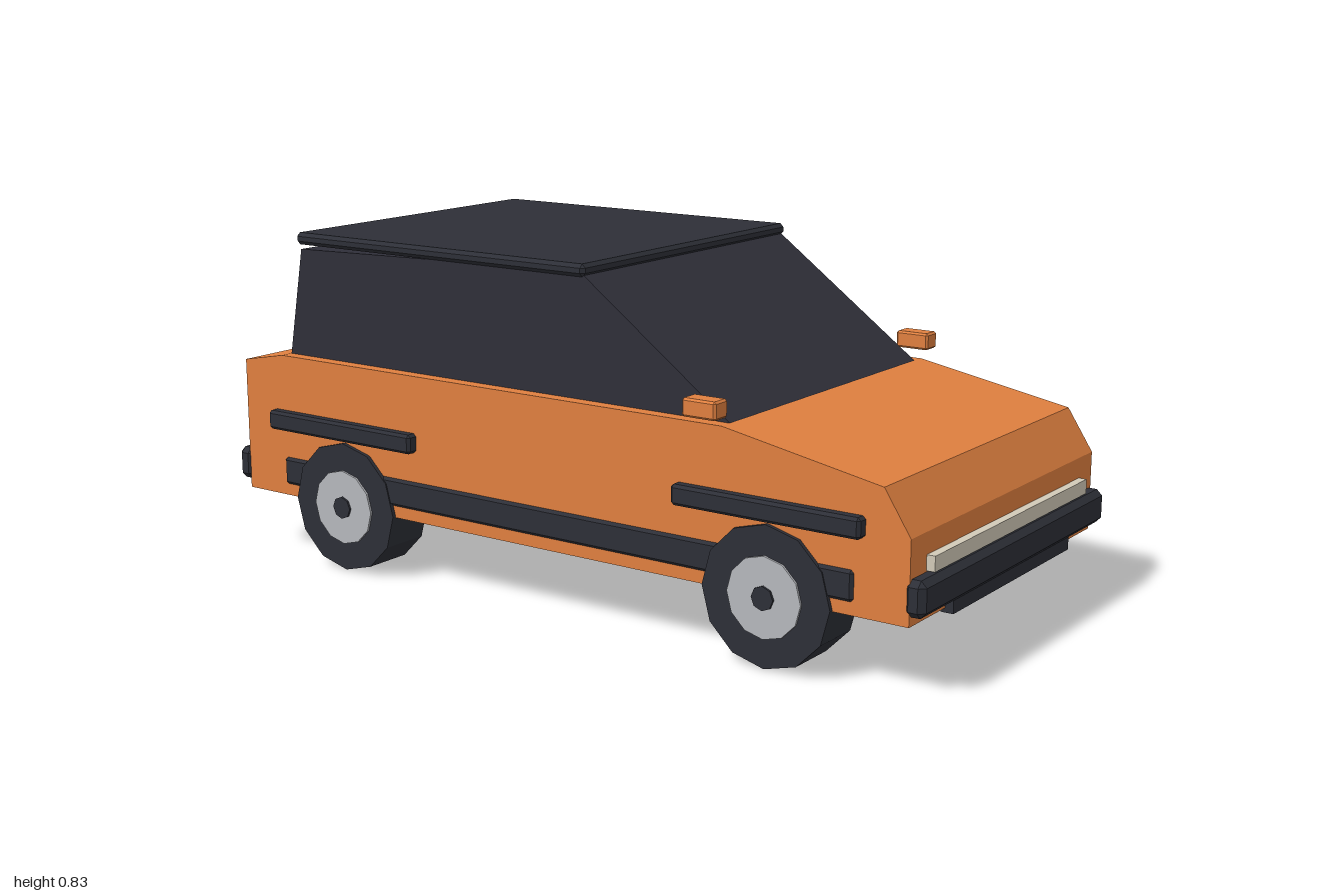
import * as THREE from 'three';
import { ConvexGeometry } from 'three/addons/geometries/ConvexGeometry.js';

const mat = (name, color) => {
  const m = new THREE.MeshStandardMaterial({ color });
  m.name = name;
  return m;
};

// Side profile of [z, y] points, extruded across the car's width
function sideExtrude(points, width) {
  const shape = new THREE.Shape(points.map(([z, y]) => new THREE.Vector2(z, y)));
  const geo = new THREE.ExtrudeGeometry(shape, { depth: width, bevelEnabled: false });
  return geo.translate(0, 0, -width / 2).rotateY(-Math.PI / 2);
}

// Box with chamfered edges, given by its size and chamfer
function chamferBox(w, h, d, c) {
  const pts = [];
  for (const sx of [-1, 1]) for (const sy of [-1, 1]) for (const sz of [-1, 1]) {
    const x = w / 2, y = h / 2, z = d / 2;
    pts.push(
      new THREE.Vector3(sx * x, sy * (y - c), sz * (z - c)),
      new THREE.Vector3(sx * (x - c), sy * y, sz * (z - c)),
      new THREE.Vector3(sx * (x - c), sy * (y - c), sz * z));
  }
  return new ConvexGeometry(pts);
}

export function createModel() {
  const paint = mat('orange paint', 0xe08040);
  const glass = mat('dark glass', 0x2f2f39);
  const trim = mat('black trim', 0x2d2f37);
  const metal = mat('wheel metal', 0xb6b8bd);
  const lamp = mat('headlight cream', 0xd2cab8);
  const red = mat('tail light red', 0xc41c20);

  const car = new THREE.Group();
  car.name = 'car';
  const add = (name, geo, material, x = 0, y = 0, z = 0, parent = car) => {
    const mesh = new THREE.Mesh(geo, material);
    mesh.name = name;
    mesh.position.set(x, y, z);
    parent.add(mesh);
    return mesh;
  };

  // Body, cabin and roof
  add('body', sideExtrude([
    [-0.96, 0.16], [0.965, 0.16], [0.965, 0.35], [0.9, 0.45],
    [0.5, 0.523], [-0.83, 0.523], [-0.96, 0.498]], 0.9), paint);
  add('cabin', sideExtrude([
    [-0.83, 0.515], [0.51, 0.515], [0.1, 0.812], [-0.3, 0.806], [-0.78, 0.793]], 0.834), glass);
  add('roof', chamferBox(0.854, 0.03, 0.9, 0.009), trim, 0, 0.82, -0.34);

  // Bumpers, front lip and lights
  add('frontBumper', chamferBox(0.91, 0.082, 0.05, 0.014), trim, 0, 0.222, 0.975);
  add('rearBumper', chamferBox(0.91, 0.082, 0.05, 0.014), trim, 0, 0.222, -0.975);
  add('frontLip', new THREE.BoxGeometry(0.58, 0.05, 0.03), trim, 0, 0.175, 0.97);
  add('headlightStrip', new THREE.BoxGeometry(0.76, 0.035, 0.03), lamp, 0, 0.283, 0.97);
  add('tailLightStrip', new THREE.BoxGeometry(0.8, 0.035, 0.03), red, 0, 0.437, -0.965);

  // Side trim and mirrors, mirrored left and right
  const sillGeo = chamferBox(0.04, 0.072, 1.665, 0.008);
  const flareGeo = chamferBox(0.05, 0.048, 0.477, 0.007);
  const mirrorGeo = chamferBox(0.05, 0.042, 0.088, 0.005);
  for (const [side, s] of [['left', 1], ['right', -1]]) {
    add(side + 'Sill', sillGeo, trim, s * 0.437, 0.225, 0.002);
    add(side + 'FrontFlare', flareGeo, trim, s * 0.452, 0.358, 0.62);
    add(side + 'RearFlare', flareGeo, trim, s * 0.452, 0.358, -0.622);
    add(side + 'Mirror', mirrorGeo, paint, s * 0.475, 0.565, 0.472);
  }

  // Wheels: tyre, rim and hub run right through
  const disc = (r, width, sides) => new THREE.CylinderGeometry(r, r, width, sides)
    .toNonIndexed().rotateZ(Math.PI / 2);
  const tyreGeo = disc(0.163, 0.126, 12);
  const rimGeo = disc(0.094, 0.137, 12);
  const hubGeo = disc(0.028, 0.148, 8);
  for (const geo of [tyreGeo, rimGeo, hubGeo]) geo.computeVertexNormals();
  for (const [side, s] of [['left', 1], ['right', -1]]) {
    for (const [end, z] of [['Front', 0.62], ['Rear', -0.62]]) {
      const wheel = new THREE.Group();
      wheel.name = side + end + 'Wheel';
      wheel.position.set(s * 0.397, 0.163, z);
      add('tyre', tyreGeo, trim, 0, 0, 0, wheel);
      add('rim', rimGeo, metal, 0, 0, 0, wheel);
      add('hub', hubGeo, trim, 0, 0, 0, wheel);
      car.add(wheel);
    }
  }
  return car;
}
